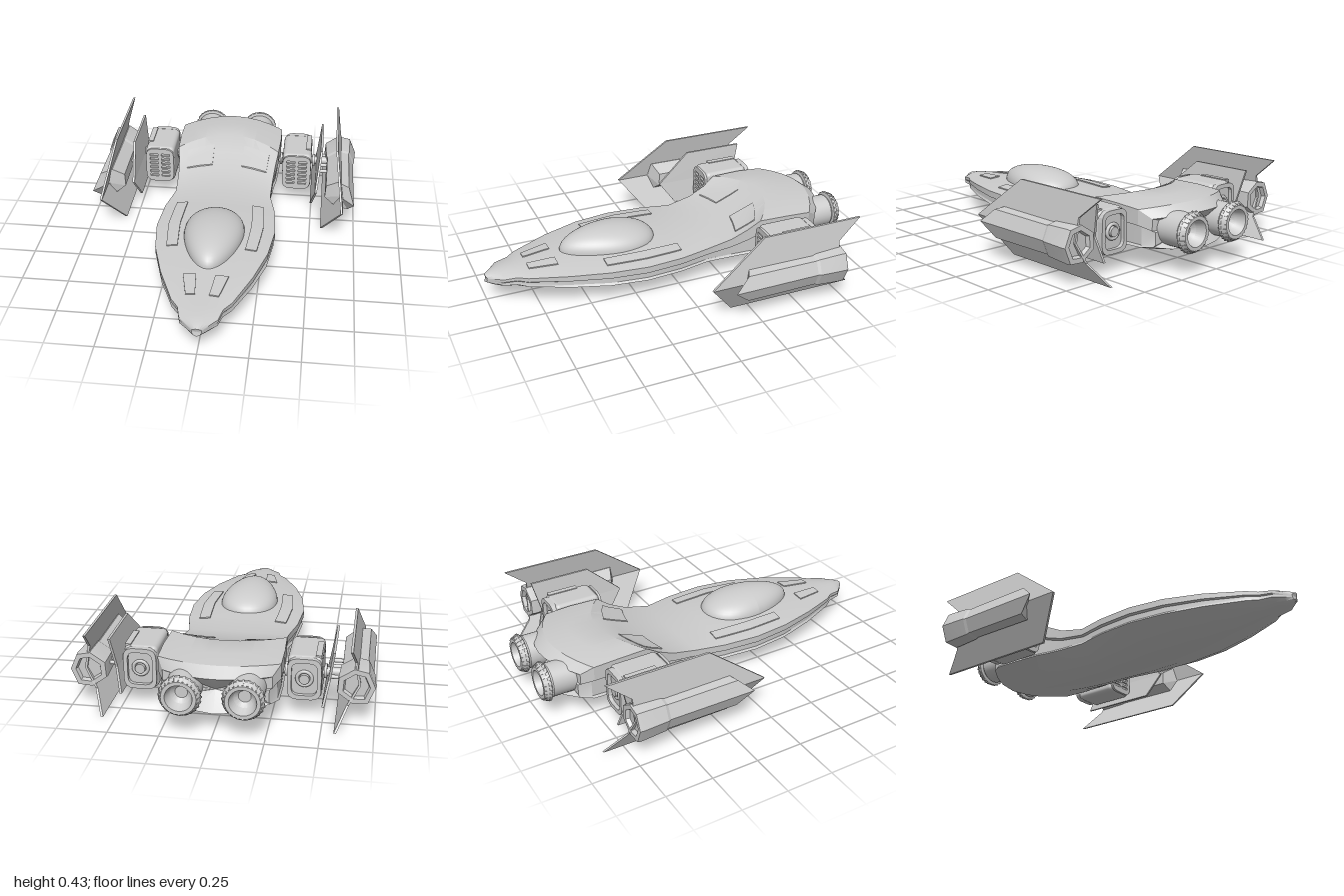
import * as THREE from 'three';
import { toCreasedNormals } from 'three/addons/utils/BufferGeometryUtils.js';
import { RoundedBoxGeometry } from 'three/addons/geometries/RoundedBoxGeometry.js';

const V = (x, y, z) => new THREE.Vector3(x, y, z);
const lerp = THREE.MathUtils.lerp;

// Hull stations: z, half width, rim y, top y, bottom y, belly edge y, bend of the section along z
const HULL = [
  [1.00, .025, .150, .165, .120, .135, -.01], [.97, .055, .157, .177, .108, .132, -.01],
  [.92, .095, .165, .186, .100, .130, 0], [.85, .112, .172, .192, .090, .128, 0],
  [.80, .150, .176, .196, .085, .125, 0], [.60, .235, .190, .210, .062, .120, 0],
  [.40, .295, .198, .223, .046, .116, 0], [.20, .320, .200, .230, .036, .115, 0],
  [.00, .305, .200, .225, .030, .115, 0], [-.18, .270, .200, .215, .030, .115, .02],
  [-.35, .275, .230, .245, .035, .116, .05], [-.48, .283, .272, .295, .045, .118, .09],
  [-.60, .295, .320, .345, .060, .120, .14], [-.75, .302, .320, .345, .080, .122, .13],
  [-.87, .300, .312, .333, .100, .125, .11], [-.93, .265, .270, .290, .110, .130, .11],
];

// Closed tube of faces through rings (clockwise seen from +z, ordered front to back), with capped ends
function loft(rings, crease) {
  const n = rings[0].length, pos = [], idx = [];
  const push = p => pos.push(p.x, p.y, p.z);
  rings.forEach(r => r.forEach(push));
  for (let i = 0; i < rings.length - 1; i++) for (let j = 0; j < n; j++) {
    const a = i * n + j, b = i * n + (j + 1) % n;
    idx.push(a, b, a + n, b, b + n, a + n);
  }
  [0, rings.length - 1].forEach((r, back) => {
    const c = pos.length / 3;
    push(rings[r].reduce((s, p) => s.add(p), V(0, 0, 0)).divideScalar(n));
    for (let j = 0; j < n; j++) {
      const a = r * n + j, b = r * n + (j + 1) % n;
      back ? idx.push(c, a, b) : idx.push(c, b, a);
    }
  });
  const g = new THREE.BufferGeometry();
  g.setAttribute('position', new THREE.Float32BufferAttribute(pos, 3));
  g.setIndex(idx);
  return toCreasedNormals(g, crease);
}

// Point of the deck at width fraction t and station s
function deck(t, s, lift = 0) {
  let i = 0;
  while (i < HULL.length - 2 && HULL[i + 1][0] > s) i++;
  const k = (s - HULL[i][0]) / (HULL[i + 1][0] - HULL[i][0]);
  const [z, w, rim, top, , , bend] = HULL[i].map((v, j) => lerp(v, HULL[i + 1][j], k));
  return V(t * w, lerp(top, rim, t * t) + lift, z + bend * t * t);
}

function hullRing([z, w, rim, top, bot, edge, bend]) {
  const lip = lerp(rim, edge, .42);
  const half = [0, .25, .5, .75, .92, 1].map(t => [t, lerp(top, rim, t * t)]);
  half.push([1, lip], [.95, lip - .006], [.95, edge + .012], [.98, edge],
    [.68, lerp(bot, edge, .42)], [.38, bot + .004], [0, bot]);
  const mirror = half.slice(1, -1).reverse().map(([t, y]) => [-t, y]);
  return half.concat(mirror).map(([t, y]) => V(t * w, y, z + bend * t * t));
}

// Thin raised panel following the deck
function deckPanel(t0, t1, s0, s1) {
  const rings = [];
  for (let i = 0; i <= 6; i++) {
    const s = lerp(s0, s1, i / 6), row = [], low = [];
    for (let j = 0; j <= 4; j++) {
      const t = lerp(t0, t1, j / 4);
      row.push(deck(t, s, .006));
      low.unshift(deck(t, s, -.006));
    }
    rings.push(row.concat(low));
  }
  return loft(rings, .5);
}

// Swept plate: outline in (z, y), with x following the height
function plate(outline, thick, xAt) {
  const shape = new THREE.Shape(outline.map(p => new THREE.Vector2(...p)));
  const g = new THREE.ExtrudeGeometry(shape, { depth: thick, bevelEnabled: false });
  g.rotateY(-Math.PI / 2);
  const p = g.attributes.position;
  for (let i = 0; i < p.count; i++) p.setX(i, p.getX(i) + thick / 2 + xAt(p.getY(i)));
  g.computeVertexNormals();
  return g;
}

function rectPath(path, w, h, x = 0, y = 0) {
  const r = Math.min(w, h) * .3;
  path.moveTo(x - w / 2 + r, y - h / 2);
  [[1, -1], [1, 1], [-1, 1], [-1, -1]].forEach(([a, b], i) => {
    const cx = x + a * w / 2, cy = y + b * h / 2, along = i % 2 === 0;
    path.lineTo(along ? cx - a * r : cx, along ? cy : cy - b * r);
    path.quadraticCurveTo(cx, cy, along ? cx : cx - a * r, along ? cy - b * r : cy);
  });
  return path;
}

const extrude = (shape, depth, x, y, z) =>
  new THREE.ExtrudeGeometry(shape, { depth, bevelEnabled: false, curveSegments: 4 }).translate(x, y, z);
const rod = (x0, x1, r, y, z) =>
  new THREE.CylinderGeometry(r, r, x1 - x0, 16).rotateZ(Math.PI / 2).translate((x0 + x1) / 2, y, z);

// Egg-shaped dome
function dome(grow, height, base) {
  const g = new THREE.SphereGeometry(1, 40, 14, 0, Math.PI * 2, 0, Math.PI / 2);
  const p = g.attributes.position;
  for (let i = 0; i < p.count; i++) {
    const x = p.getX(i), y = Math.max(0, p.getY(i)), z = p.getZ(i);
    p.setXYZ(i, x * .16 * grow * (1 - .27 * z), base + height * Math.pow(y, .85), .32 + z * .275 * grow);
  }
  g.computeVertexNormals();
  return g;
}

export function createModel() {
  const group = new THREE.Group();
  const mat = new THREE.MeshStandardMaterial({ color: 0xcccccc, side: THREE.DoubleSide });
  const add = (name, geo) => {
    const m = new THREE.Mesh(geo, mat);
    m.name = name;
    group.add(m);
  };
  // Adds a part on the left and its mirror image on the right
  const both = (name, geo) => {
    const g = geo.index ? geo.toNonIndexed() : geo;
    const m = g.clone().scale(-1, 1, 1);
    for (const key of ['position', 'normal']) {
      const a = m.attributes[key], v = V(0, 0, 0), w = V(0, 0, 0);
      for (let i = 0; i < a.count; i += 3) {
        v.fromBufferAttribute(a, i + 1);
        w.fromBufferAttribute(a, i + 2);
        a.setXYZ(i + 1, w.x, w.y, w.z);
        a.setXYZ(i + 2, v.x, v.y, v.z);
      }
    }
    add(name + 'Left', g);
    add(name + 'Right', m);
  };

  // Hull, canopy and deck panels
  add('hull', loft(HULL.map(hullRing), .45));
  add('canopyFrame', dome(1.04, .035, .198));
  add('canopy', dome(.97, .108, .207));
  both('rearWindow', deckPanel(.31, .84, -.385, -.53));
  both('nosePanel', deckPanel(.22, .52, .78, .63));
  both('sidePanel', deckPanel(.6, .8, .4, -.02));

  // Rear engines with ribbed, hollow nozzles
  const profile = [[0, -.72], [.088, -.72], [.088, -.95], [.082, -.958], [.1, -.962], [.1, -.978],
    [.084, -1], [.066, -1], [.05, -.95], [.03, -.93], [0, -.93]];
  const engine = new THREE.LatheGeometry(profile.map(([r, z]) => new THREE.Vector2(r, -z)), 32);
  both('engine', toCreasedNormals(engine.rotateX(-Math.PI / 2).translate(.15, .215, 0), .5));
  for (let i = 0; i < 24; i++) {
    const rib = new THREE.BoxGeometry(.008, .012, .036).rotateX(-.45).translate(0, .092, -.98);
    both('nozzleRib', rib.rotateZ(i * Math.PI / 12).translate(.15, .215, 0));
  }

  // Intake pods with slotted grille, rear frame and hub
  const X = .405, Y = .212;
  both('pod', new RoundedBoxGeometry(.168, .222, .26, 3, .025).translate(X, Y, -.56));
  const grille = rectPath(new THREE.Shape(), .165, .215);
  for (let i = 0; i < 6; i++) for (const s of [-1, 1])
    grille.holes.push(rectPath(new THREE.Path(), .05, .016, s * .034, (i - 2.5) * .027));
  both('podGrille', extrude(grille, .014, X, Y, -.434));
  const frame = rectPath(new THREE.Shape(), .165, .215);
  frame.holes.push(rectPath(new THREE.Path(), .125, .17));
  both('podRearFrame', extrude(frame, .03, X, Y, -.71));
  both('podHub', new THREE.CylinderGeometry(.025, .025, .03, 20).rotateX(Math.PI / 2).translate(X, Y, -.695));
  both('podHubRing', new THREE.TorusGeometry(.036, .009, 8, 24).translate(X, Y, -.695));
  both('podRail', new THREE.BoxGeometry(.03, .02, .17).translate(.47, .318, -.59));

  // Joints between hull, pod and wing
  both('innerJoint', rod(.27, .335, .022, .21, -.59));
  both('innerCollar', rod(.302, .314, .036, .21, -.59));
  both('outerJoint', rod(.48, .6, .022, .21, -.59));
  both('outerCollar', rod(.495, .508, .036, .21, -.59));
  for (const z of [-.65, -.53, -.46]) both('wingRod', rod(.52, .6, .01, .21, z));

  // Inner fins
  const innerX = y => y > .21 ? lerp(.525, .547, (y - .21) / .165) : lerp(.525, .5, (.21 - y) / .125);
  both('innerFinUpper', plate([[-.21, .21], [-.4, .375], [-.74, .375], [-.7, .21]], .012, innerX));
  both('innerFinLower', plate([[-.21, .21], [-.7, .21], [-.74, .085], [-.3, .085]], .012, innerX));

  // Outer wings, folded along the pod axis
  const outerX = y => y > .21 ? lerp(.672, .632, (y - .21) / .225) : lerp(.672, .567, (.21 - y) / .2);
  both('outerWingUpper', plate([[0, .21], [-.3, .435], [-.855, .435], [-.73, .33], [-.73, .21]], .012, outerX));
  both('outerWingLower', plate([[0, .21], [-.73, .21], [-.745, .11], [-.855, .01], [-.155, .01]], .012, outerX));

  // Faceted wing pods with slanted front and flared tail
  const facets = [[.645, .3], [.715, .285], [.75, .205], [.715, .12], [.64, .115], [.565, .17], [.57, .25]];
  const podRing = (k, z, slant = 0) => facets.map(([x, y]) =>
    V(.66 + (x - .66) * k, .205 + (y - .205) * k, z - slant * (Math.abs(y - .205) + Math.max(0, .66 - x))));
  both('wingPod', loft([podRing(.88, -.1, 1), podRing(.85, -.57), podRing(.92, -.585),
    podRing(1, -.72), podRing(.97, -.74), podRing(.7, -.74), podRing(.62, -.72)], .2));

  return group;
}
